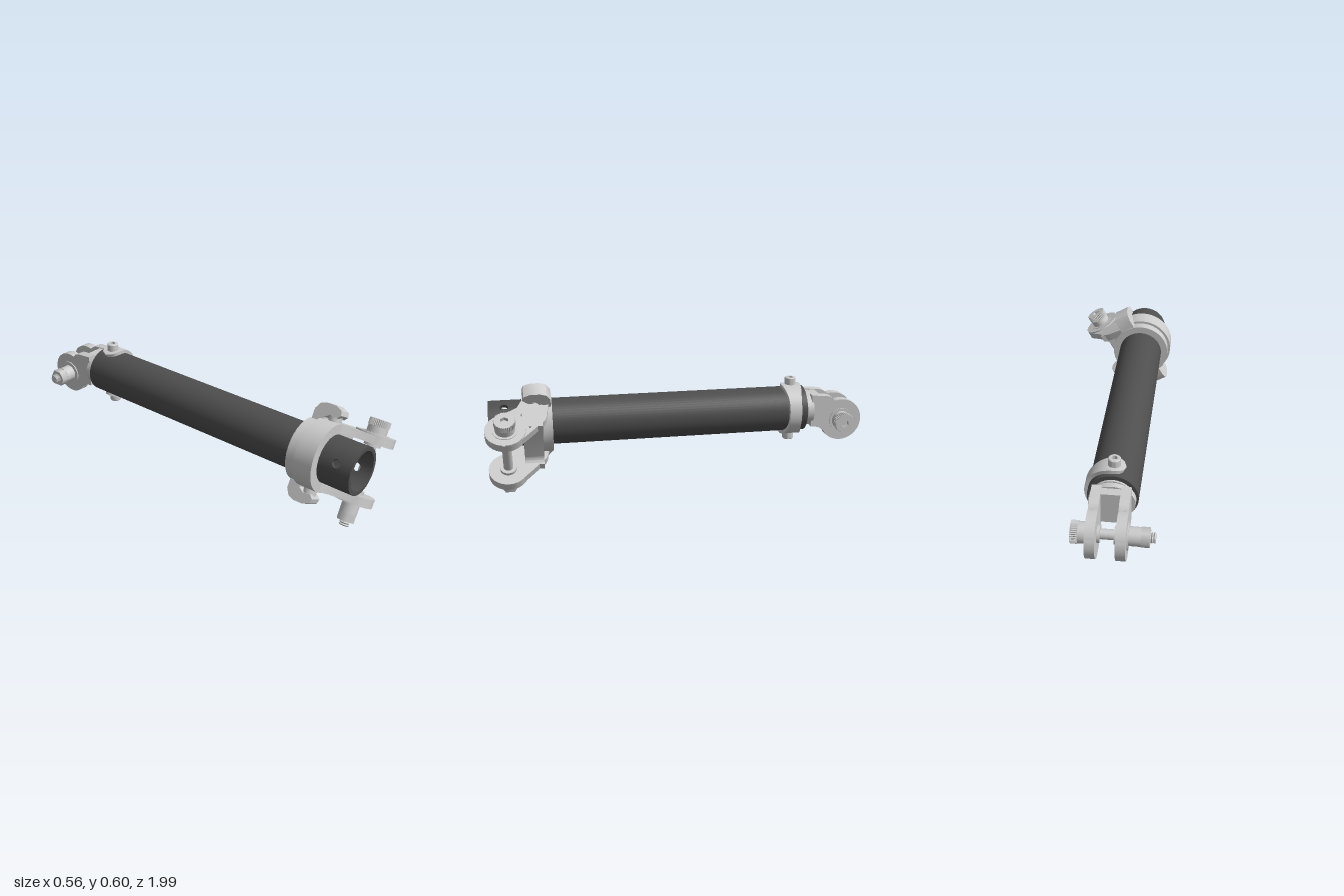
import * as THREE from 'three';
import { toCreasedNormals } from 'three/addons/utils/BufferGeometryUtils.js';

const { PI, cos, sin, abs, max, min, sqrt } = Math;
const CX = -0.065, CY = 0.373;   // tube axis
const R_OUT = 0.12, R_IN = 0.1;  // tube radii

function material(name, color) {
  const m = new THREE.MeshStandardMaterial({ color, side: THREE.DoubleSide });
  m.name = name;
  return m;
}

export function createModel() {
  const alloy = material('light alloy', 0xcbcbcb);
  const carbon = material('dark tube', 0x4e4e4e);
  const model = new THREE.Group();
  model.name = 'tubeStrut';

  function add(parent, name, geometry, mat = alloy) {
    const mesh = new THREE.Mesh(geometry, mat);
    mesh.name = name;
    parent.add(mesh);
    return mesh;
  }
  function group(parent, name, x, y, z) {
    const g = new THREE.Group();
    g.name = name;
    g.position.set(x, y, z);
    parent.add(g);
    return g;
  }
  const shapeOf = pts => new THREE.Shape(pts.map(p => new THREE.Vector2(p[0], p[1])));
  const circlePath = (x, y, r) => new THREE.Path().absarc(x, y, r, 0, 2 * PI, true);
  function extrude(shape, depth, curveSegments = 20) {
    return toCreasedNormals(new THREE.ExtrudeGeometry(shape, { depth, bevelEnabled: false, curveSegments }), 0.6);
  }
  // Shape drawn in (x, z), filling y0..y1
  const slabY = (shape, y0, y1) => extrude(shape, abs(y1 - y0)).rotateX(PI / 2).translate(0, max(y0, y1), 0);
  // Shape drawn in (z, y), filling x0..x1
  const slabX = (shape, x0, x1) => extrude(shape, x1 - x0).rotateY(-PI / 2).translate(x1, 0, 0);
  // Cylinder along y between two heights
  const rod = (r, y0, y1, sides = 28) =>
    new THREE.CylinderGeometry(r, r, abs(y1 - y0), sides).translate(0, (y0 + y1) / 2, 0);
  const lathe = (pts, sides = 28) =>
    toCreasedNormals(new THREE.LatheGeometry(pts.map(p => new THREE.Vector2(p[0], p[1])), sides), 0.6);
  // Surface from a rule f(i, j) -> [x, y, z]
  function grid(nu, nv, f) {
    const pos = [], idx = [];
    for (let i = 0; i <= nu; i++) for (let j = 0; j <= nv; j++) pos.push(...f(i, j));
    for (let i = 0; i < nu; i++) for (let j = 0; j < nv; j++) {
      const a = i * (nv + 1) + j, b = a + nv + 1;
      idx.push(a, a + 1, b + 1, a, b + 1, b);
    }
    const g = new THREE.BufferGeometry();
    g.setAttribute('position', new THREE.Float32BufferAttribute(pos, 3));
    g.setIndex(idx);
    g.computeVertexNormals();
    return g;
  }
  // Threaded end between two heights
  function thread(r, y0, y1, turns) {
    const pts = [[0, y0]];
    for (let i = 0; i <= turns * 2; i++) pts.push([r * (i % 2 ? 1 : 0.82), y0 + (y1 - y0) * i / (turns * 2)]);
    pts.push([0, y1]);
    return lathe(pts, 20);
  }

  // Knurled pin with nut, clamping a fork whose outer faces are at y = +-c
  function pin(parent, c) {
    add(parent, 'pinShaft', rod(0.024, -c - 0.1, c + 0.05));
    add(parent, 'pinHeadBase', rod(0.05, c, c + 0.036));
    const knurl = [];
    for (let i = 0; i < 72; i++) {
      const r = i % 2 ? 0.0495 : 0.053, a = i / 72 * 2 * PI;
      knurl.push([r * cos(a), r * sin(a)]);
    }
    const s = shapeOf(knurl);
    const hex = [];
    for (let i = 0; i < 6; i++) hex.push(new THREE.Vector2(0.021 * cos(i * PI / 3), 0.021 * sin(i * PI / 3)));
    s.holes.push(new THREE.Path(hex));
    add(parent, 'knurledHead', new THREE.ExtrudeGeometry(s, { depth: 0.034, bevelEnabled: false })
      .rotateX(PI / 2).translate(0, c + 0.07, 0));
    add(parent, 'spacer', rod(0.044, -c - 0.057, -c));
    add(parent, 'nut', rod(0.047, -c - 0.097, -c - 0.057, 6).toNonIndexed());
    add(parent, 'threadEnd', thread(0.026, -c - 0.122, -c - 0.09, 3));
    for (const k of [-1, 1]) {
      add(parent, 'bearing', rod(0.064, k * (c - 0.02), k * (c + 0.003)));
      add(parent, 'bushing', rod(0.042, k * (c - 0.062), k * c));
    }
  }

  // Main tube
  const tube = group(model, 'tube', CX, CY, 0);
  add(tube, 'tubeBody', lathe([[R_OUT, 0.82], [R_OUT, -0.69], [R_IN, -0.69], [R_IN, 0.82]], 56).rotateX(PI / 2), carbon);

  // Front fitting, turned about the tube axis
  const front = group(model, 'frontFitting', CX, CY, 0);
  front.rotation.z = -PI / 6;

  // Drilled tube end: four wrapped panels, each round one hole
  const panelPoint = (q, r, i, t) => {
    const p = i / 48 * 2 * PI, s = 1 / max(abs(cos(p)), abs(sin(p)));
    const a = q * PI / 2 + THREE.MathUtils.lerp(0.021 / r * cos(p), s * cos(p) * PI / 4, t);
    return [r * cos(a), r * sin(a), 0.9 + THREE.MathUtils.lerp(0.021 * sin(p), s * sin(p) * 0.08, t)];
  };
  for (let q = 0; q < 4; q++) {
    for (const r of [R_OUT, R_IN]) add(front, 'drilledTubeEnd', grid(48, 6, (i, j) => panelPoint(q, r, i, j / 6)), carbon);
    add(front, 'holeWall', grid(48, 1, (i, j) => panelPoint(q, j ? R_IN : R_OUT, i, 0)), carbon);
  }
  add(front, 'tubeRim', new THREE.RingGeometry(R_IN, R_OUT, 56).translate(0, 0, 0.98), carbon);

  // Collar round the tube, with a flat web toward the fork
  function collarShape(r) {
    const s = new THREE.Shape();
    s.moveTo(0, r);
    s.absarc(0, 0, r, PI / 2, PI * 1.5, false);
    s.lineTo(0.18, -0.167);
    s.lineTo(0.18, -0.13);
    s.quadraticCurveTo(0.152, -0.125, 0.15, -0.09);
    s.lineTo(0.15, 0.09);
    s.quadraticCurveTo(0.152, 0.125, 0.18, 0.13);
    s.lineTo(0.18, 0.167);
    s.holes.push(circlePath(0, 0, R_OUT));
    return s;
  }
  add(front, 'collar', extrude(collarShape(0.17), 0.1, 14).translate(0, 0, 0.71));
  const backCollar = new THREE.Shape().absarc(0, 0, 0.157, 0, 2 * PI, false);
  backCollar.holes.push(circlePath(0, 0, R_OUT));
  add(front, 'collarBackRing', extrude(backCollar, 0.05, 16).translate(0, 0, 0.66));

  // Fork arms with a pocket, lugs and clamp ears, mirrored
  const armShape = () => {
    const s = new THREE.Shape();
    s.moveTo(0, 0.67);
    s.lineTo(0.12, 0.69);
    s.quadraticCurveTo(0.145, 0.695, 0.16, 0.715);
    s.lineTo(0.28, 0.835);
    s.absarc(0.2, 0.895, 0.1, -0.64, PI * 0.83, false);
    s.lineTo(0.05, 0.835);
    s.lineTo(0, 0.81);
    return s;
  };
  const pocket = new THREE.Path([[0.07, 0.71], [0.07, 0.79], [0.1, 0.82], [0.165, 0.79], [0.19, 0.775], [0.13, 0.71]]
    .map(p => new THREE.Vector2(...p)));
  const rim = armShape();
  rim.holes.push(pocket);
  const earPoints = [[0.665, 0.13], [0.665, 0.2], [0.685, 0.232], [0.715, 0.243], [0.765, 0.243], [0.8, 0.228],
    [0.806, 0.205], [0.79, 0.188], [0.75, 0.192], [0.725, 0.175], [0.72, 0.13]];
  for (const k of [-1, 1]) {
    add(front, 'forkArm', slabY(armShape(), k * 0.128, k * 0.148));
    add(front, 'forkArmRim', slabY(rim, k * 0.148, k * 0.167));
    add(front, 'forkLug', rod(0.1, k * 0.128, k * 0.174, 40).translate(0.2, 0, 0.895));
    add(front, 'clampEar', slabX(shapeOf(earPoints.map(([z, y]) => [z, y * k])), -0.04, 0.04));
    add(front, 'clampCollar', rod(0.032, k * 0.15, k * 0.2).translate(0, 0, 0.765));
  }
  add(front, 'clampRod', rod(0.018, -0.19, 0.19).translate(0, 0, 0.765));
  pin(group(front, 'frontPin', 0.2, 0, 0.895), 0.174);

  // Rear clevis with a hollow plug inside the tube
  const rear = group(model, 'rearClevis', CX, CY, 0);
  add(rear, 'plug', lathe([[0, -0.67], [0.05, -0.67], [0.055, -0.65], [0.08, -0.65], [0.085, -0.56], [R_IN, -0.56],
    [R_IN, -0.7], [0, -0.7]], 20).rotateX(PI / 2));
  const flange = new THREE.CylinderGeometry(0.11, 0.11, 0.035, 32).rotateX(PI / 2).scale(1, 0.84, 1);
  add(rear, 'clevisFlange', flange.translate(0, 0, -0.7125));
  add(rear, 'clevisBase', new THREE.BoxGeometry(0.18, 0.16, 0.055).translate(0, 0.002, -0.7475));
  const lug = new THREE.Shape();
  lug.moveTo(-0.72, 0.09);
  lug.lineTo(-0.8, 0.083);
  lug.quadraticCurveTo(-0.83, 0.08, -0.85, 0.055);
  lug.absarc(-0.885, -0.053, 0.113, 1.25, 2 * PI - 0.75, false);
  lug.quadraticCurveTo(-0.785, -0.085, -0.72, -0.085);
  for (const k of [-1, 1]) add(rear, 'clevisPlate', slabX(lug, k * 0.068 - 0.023, k * 0.068 + 0.023));
  const rearPin = group(rear, 'rearPin', 0, -0.053, -0.885);
  rearPin.rotation.z = -PI / 2;
  pin(rearPin, 0.094);

  // Saddle strap round one side of the tube, with round pads above and below
  const sweep = PI / 2 + 0.42;
  const strap = grid(44, 4, (i, j) => {
    const a = (i / 22 - 1) * sweep, over = max(0, abs(a) - PI / 2) / 0.42;
    const h = over > 0 ? 0.052 * sqrt(max(0, 1 - over * over)) : 0.032 + 0.02 * sin(a) ** 4;
    const r = j === 1 || j === 2 ? 0.138 : 0.119;
    return [r * cos(a), r * sin(a), -0.62 + (j === 2 || j === 3 ? h : -h)];
  });
  add(rear, 'saddleStrap', toCreasedNormals(strap, 0.6));

  // Cross bolts through the saddle pads
  for (const k of [-1, 1]) {
    const bolt = group(rear, 'crossBolt', 0, 0, -0.62);
    if (k < 0) bolt.rotation.x = PI;
    add(bolt, 'boltHead', lathe([[0, 0.125], [0.03, 0.125], [0.03, 0.17], [0.026, 0.174], [0.014, 0.174], [0.014, 0.155], [0, 0.155]]));
    add(bolt, 'boltThread', thread(0.018, 0.05, 0.125, 6));
  }
  return model;
}
